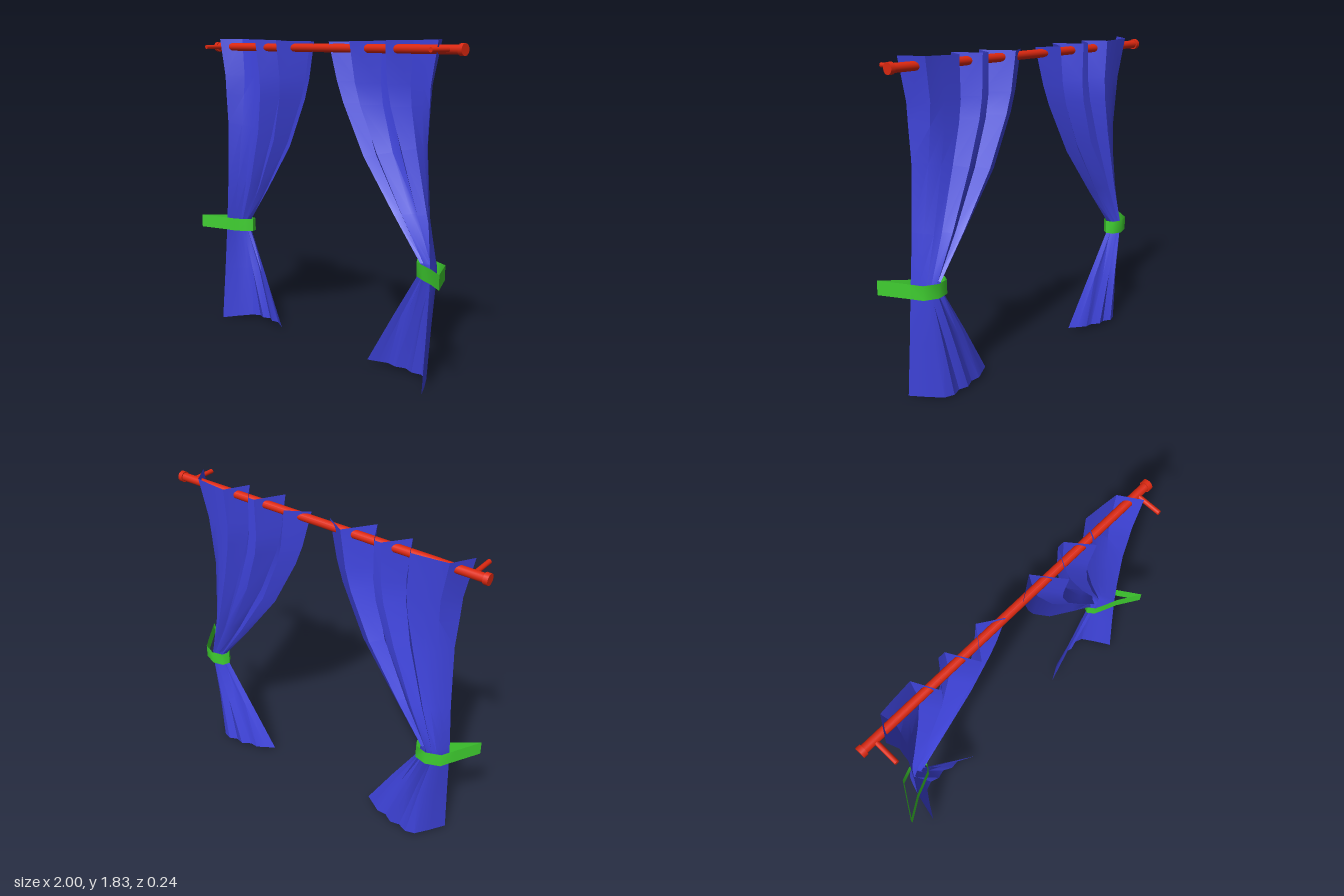
import * as THREE from 'three';
import { toCreasedNormals } from 'three/addons/utils/BufferGeometryUtils.js';

const red = new THREE.MeshStandardMaterial({ color: 0xdd2810 });
const blue = new THREE.MeshStandardMaterial({ color: 0x3f44dd, side: THREE.DoubleSide });
const green = new THREE.MeshStandardMaterial({ color: 0x3fcf30, side: THREE.DoubleSide });

const ROD_Y = 1.78, ROD_Z = -0.035;
const lerp = THREE.MathUtils.lerp;

// Sheet through rows of [x, y, z] points
function sheet(rows, crease) {
  const n = rows[0].length, index = [];
  for (let r = 0; r < rows.length - 1; r++) {
    for (let c = 0; c < n - 1; c++) {
      const a = r * n + c, b = a + n;
      index.push(a, b, a + 1, a + 1, b, b + 1);
    }
  }
  const geo = new THREE.BufferGeometry();
  geo.setAttribute('position', new THREE.Float32BufferAttribute(rows.flat(2), 3));
  geo.setIndex(index);
  return toCreasedNormals(geo, crease);
}

function mesh(name, geo, mat, parent) {
  const m = new THREE.Mesh(geo, mat);
  m.name = name;
  parent.add(m);
  return m;
}

// Fold profiles from outer to inner edge: position across, and depth at the top, tie and hem
const FOLD_U = [0, 0.09, 0.2, 0.34, 0.427, 0.55, 0.6, 0.707, 0.85, 1];
const TOP_Z = [0.03, -0.09, -0.1, -0.11, 0.03, -0.1, -0.1, 0.06, -0.1, -0.02];
const TIE_Z = [0.02, -0.03, -0.07, -0.09, -0.06, -0.1, -0.085, -0.055, -0.08, -0.06];
const HEM_Z = [0.07, -0.02, -0.1, -0.12, -0.1, -0.115, -0.085, -0.09, -0.06, -0.03];

// Curtain rows: outer y, inner y, outer x, inner x, gather (0 top, 1 tie, 2 hem)
const ROWS = [
  [1.83, 1.815, 0.885, 0.06, 0],
  [1.6, 1.6, 0.84, 0.115, 0.3],
  [1.48, 1.48, 0.835, 0.16, 0.45],
  [1.3, 1.19, 0.825, 0.31, 0.75],
  [0.93, 0.9, 0.84, 0.53, 0.93],
  [0.66, 0.66, 0.86, 0.725, 1],
  [0.6, 0.6, 0.862, 0.715, 1.05],
  [0.33, 0.33, 0.862, 0.55, 1.45],
  [0, 0.03, 0.862, 0.375, 2],
];

function curtainGeometry(side) {
  const rows = ROWS.map(([yo, yi, xo, xi, g]) => FOLD_U.map((fu, i) => {
    const u = lerp(fu, i / (FOLD_U.length - 1), Math.min(g, 1));
    const z = g < 1 ? lerp(TOP_Z[i], TIE_Z[i], g) : lerp(TIE_Z[i], HEM_Z[i], g - 1);
    return [side * lerp(xo, xi, u), lerp(yo, yi, u), z];
  }));
  return sheet(rows, 0.6);
}

// Tieback loop: x, centre y, z
const TIE = [
  [1, 0.648, 0.12], [0.87, 0.638, 0.035], [0.8, 0.635, 0.005], [0.73, 0.638, -0.025],
  [0.7, 0.638, -0.065], [0.72, 0.635, -0.105], [0.79, 0.632, -0.12],
  [0.87, 0.634, -0.09], [0.92, 0.64, -0.01], [1, 0.648, 0.12],
];

function tiebackGeometry(side) {
  return sheet([0.04, -0.04].map(h => TIE.map(([x, y, z]) => [side * x, y + h, z])), 0.9);
}

export function createModel() {
  const model = new THREE.Group();
  model.name = 'curtains';

  // Rod
  const rod = mesh('rod', new THREE.CylinderGeometry(0.024, 0.024, 1.96, 16), red, model);
  rod.rotation.z = Math.PI / 2;
  rod.position.set(0, ROD_Y, ROD_Z);

  for (const side of [1, -1]) {
    const label = side > 0 ? 'left' : 'right';

    // Rod end cap and bracket
    const cap = mesh(label + 'EndCap', new THREE.CylinderGeometry(0.031, 0.031, 0.026, 16), red, model);
    cap.rotation.z = Math.PI / 2;
    cap.position.set(side * 0.985, ROD_Y, ROD_Z);

    const bracket = mesh(label + 'Bracket', new THREE.CylinderGeometry(0.013, 0.013, 0.155, 12), red, model);
    bracket.rotation.x = Math.PI / 2;
    bracket.position.set(side * 0.91, ROD_Y, 0.0425);

    // Curtain panel and its tieback
    mesh(label + 'Curtain', curtainGeometry(side), blue, model);
    mesh(label + 'Tieback', tiebackGeometry(side), green, model);
  }
  return model;
}
